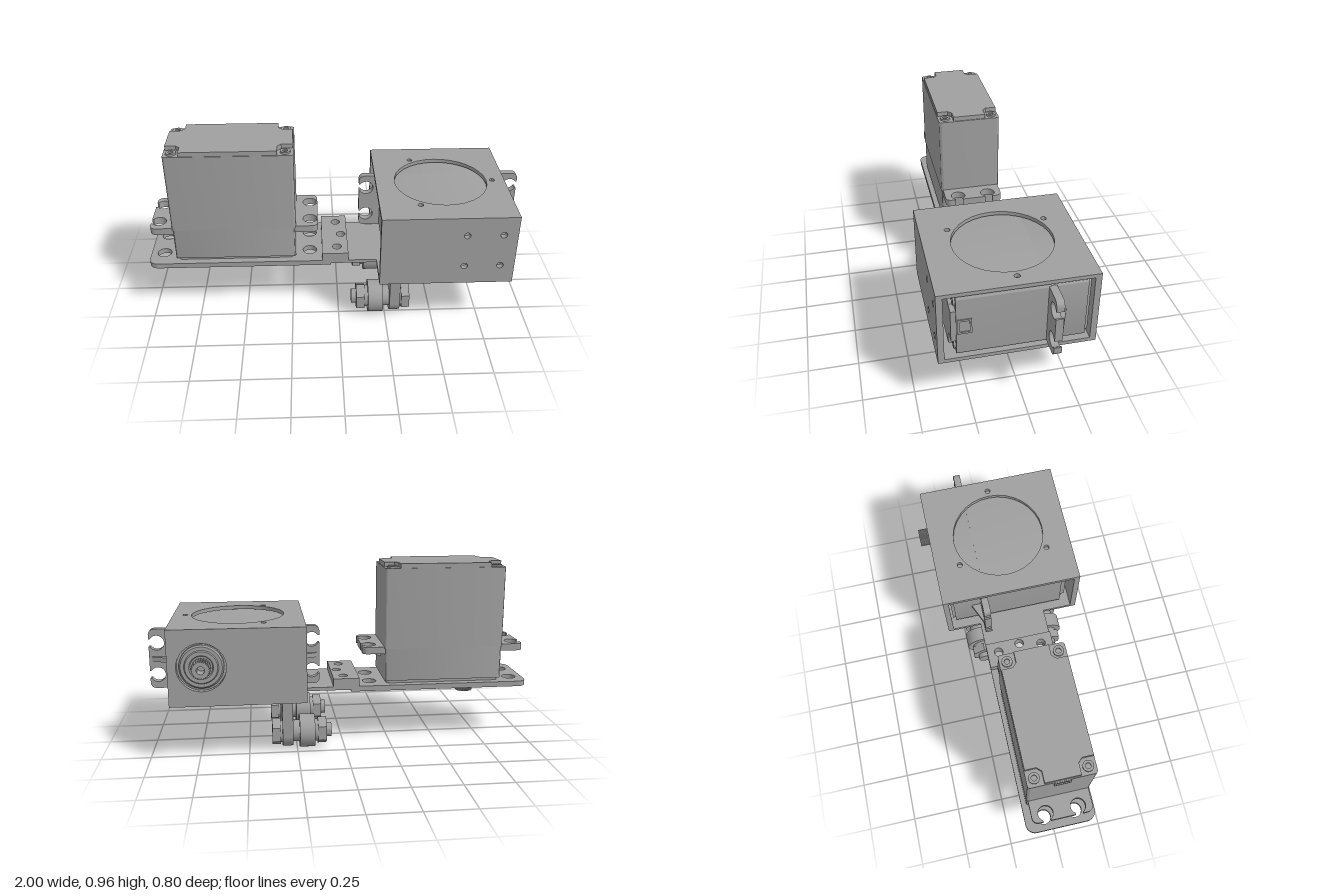
import * as THREE from 'three';
import { toCreasedNormals } from 'three/addons/utils/BufferGeometryUtils.js';

const metal = new THREE.MeshStandardMaterial({ color: 0xa0a0a0 });
metal.name = 'plain grey';

function add(parent, name, geometry) {
  const mesh = new THREE.Mesh(geometry, metal);
  mesh.name = name;
  parent.add(mesh);
  return mesh;
}

function box(parent, name, x0, x1, y0, y1, z0, z1) {
  const m = add(parent, name, new THREE.BoxGeometry(x1 - x0, y1 - y0, z1 - z0));
  m.position.set((x0 + x1) / 2, (y0 + y1) / 2, (z0 + z1) / 2);
  return m;
}

// Rectangle with a radius per corner: [x0y0, x1y0, x1y1, x0y1]
function roundRect(x0, x1, y0, y1, r, path = new THREE.Shape()) {
  const [a, b, c, d] = Array.isArray(r) ? r : [r, r, r, r];
  path.moveTo(x0 + a, y0).lineTo(x1 - b, y0);
  if (b) path.absarc(x1 - b, y0 + b, b, -Math.PI / 2, 0, false);
  path.lineTo(x1, y1 - c);
  if (c) path.absarc(x1 - c, y1 - c, c, 0, Math.PI / 2, false);
  path.lineTo(x0 + d, y1);
  if (d) path.absarc(x0 + d, y1 - d, d, Math.PI / 2, Math.PI, false);
  path.lineTo(x0, y0 + a);
  if (a) path.absarc(x0 + a, y0 + a, a, Math.PI, Math.PI * 1.5, false);
  return path;
}

function holes(shape, list, r) {
  for (const [x, y] of list) shape.holes.push(new THREE.Path().absarc(x, y, r, 0, Math.PI * 2, true));
  return shape;
}

function extrude(shape, depth) {
  const g = new THREE.ExtrudeGeometry(shape, { depth, bevelEnabled: false, curveSegments: 16 });
  return toCreasedNormals(g, 0.6);
}

// Horizontal slab: shape drawn in (x, z), spanning y0 to y1
function slab(parent, name, shape, y0, y1) {
  const g = extrude(shape, y1 - y0).rotateX(Math.PI / 2);
  return add(parent, name, g.translate(0, y1, 0));
}

// Servo with its back on y = 0 and its output shaft pointing up
function createServo() {
  const servo = new THREE.Group();
  servo.name = 'servo';
  slab(servo, 'mainCase', roundRect(-0.32, 0.32, -0.163, 0.163, 0.014), 0.024, 0.45);
  slab(servo, 'gearCase', roundRect(-0.317, 0.317, -0.16, 0.16, 0.014), 0.45, 0.625);
  slab(servo, 'caseEnd', roundRect(-0.305, 0.305, -0.15, 0.15, 0.02), 0.625, 0.64);

  // Back cover with stepped corners that leave room for the screws
  const X = 0.315, Z = 0.16, n = 0.075, c = 0.02;
  const cover = new THREE.Shape();
  [[1, 1], [-1, 1], [-1, -1], [1, -1]].forEach(([sx, sz], i) => {
    const pts = [[X, Z - n], [X - n + c, Z - n], [X - n, Z - n + c], [X - n, Z]];
    if (i % 2) pts.reverse();
    for (const [x, z] of pts) cover.lineTo(sx * x, sz * z);
  });
  cover.curves.shift(); // drop the segment from the origin
  cover.closePath();
  slab(servo, 'backCover', cover, 0, 0.024);
  for (const sx of [-1, 1]) for (const sz of [-1, 1]) {
    const ring = holes(new THREE.Shape().absarc(sx * 0.28, sz * 0.125, 0.026, 0, Math.PI * 2), [[sx * 0.28, sz * 0.125]], 0.013);
    slab(servo, 'caseScrew', ring, 0.014, 0.026);
  }

  // Mounting ears with open keyhole slots, plus their ribs
  const ear = new THREE.Shape();
  ear.moveTo(0.31, -0.155).lineTo(0.405, -0.155);
  ear.absarc(0.405, -0.125, 0.03, -Math.PI / 2, 0, false);
  const half = Math.asin(0.02 / 0.038);
  for (const z of [-0.083, 0.083]) {
    ear.lineTo(0.435, z - 0.02);
    ear.absarc(0.395, z, 0.038, -half, half, true);
    ear.lineTo(0.435, z + 0.02);
  }
  ear.absarc(0.405, 0.125, 0.03, 0, Math.PI / 2, false);
  ear.lineTo(0.31, 0.155);
  const rib = new THREE.Shape([[0.31, 0.475], [0.42, 0.475], [0.42, 0.483], [0.31, 0.53]].map(p => new THREE.Vector2(...p)));
  for (const turn of [0, Math.PI]) {
    const side = new THREE.Group();
    side.name = 'mountingEar';
    side.rotation.y = turn;
    slab(side, 'ear', ear, 0.44, 0.477);
    add(side, 'earRib', extrude(rib, 0.024).translate(0, 0, -0.012));
    servo.add(side);
  }

  // Cable window
  const frame = roundRect(-0.04, 0.04, 0.03, 0.095, 0);
  frame.holes.push(roundRect(-0.03, 0.03, 0.04, 0.085, 0, new THREE.Path()));
  add(servo, 'cableWindow', extrude(frame, 0.008).rotateY(Math.PI / 2).translate(0.317, 0, 0));

  // Stepped collar and splined hollow shaft
  const profile = [[0.11, 0.63], [0.11, 0.662], [0.102, 0.67], [0.085, 0.67], [0.08, 0.676], [0.06, 0.676], [0.055, 0.666], [0, 0.666]];
  const collar = new THREE.LatheGeometry(profile.map(p => new THREE.Vector2(...p)), 40);
  add(servo, 'shaftCollar', toCreasedNormals(collar, 0.5)).position.x = 0.16;
  const spline = new THREE.Shape();
  for (let i = 0; i < 96; i++) {
    const a = i / 96 * Math.PI * 2, r = i % 4 < 2 ? 0.047 : 0.041;
    spline[i ? 'lineTo' : 'moveTo'](r * Math.cos(a), r * Math.sin(a));
  }
  spline.closePath();
  slab(servo, 'outputShaft', holes(spline, [[0, 0]], 0.02), 0.66, 0.733).position.x = 0.16;
  return servo;
}

// Cylinder lying along x
function rod(parent, name, x0, x1, r, sides = 32) {
  const g = new THREE.CylinderGeometry(r, r, x1 - x0, sides).rotateZ(Math.PI / 2).rotateX(Math.PI / 2);
  add(parent, name, toCreasedNormals(g, 0.5)).position.x = (x0 + x1) / 2;
}

// Leg with a bolted roller, centred on its axle
function createLeg() {
  const leg = new THREE.Group();
  leg.name = 'rollerLeg';
  const strap = new THREE.Shape();
  strap.moveTo(-0.078, 0.215).lineTo(-0.078, 0);
  strap.absarc(0, 0, 0.078, Math.PI, Math.PI * 2, false);
  strap.lineTo(0.078, 0.215);
  add(leg, 'strap', extrude(strap, 0.055).rotateY(Math.PI / 2).translate(0.272, 0, 0));
  // Fillet where the strap meets the case
  const fillet = new THREE.Shape();
  fillet.moveTo(0.25, 0.21).absarc(0.25, 0.188, 0.022, Math.PI / 2, 0, true);
  fillet.lineTo(0.327, 0.188).absarc(0.349, 0.188, 0.022, Math.PI, Math.PI / 2, true);
  add(leg, 'filletRoot', extrude(fillet, 0.156).translate(0, 0, -0.078));
  rod(leg, 'boltEnd', 0.068, 0.11, 0.038);
  rod(leg, 'boltShank', 0.1, 0.34, 0.035);
  rod(leg, 'nut', 0.095, 0.14, 0.073, 6);
  rod(leg, 'washer', 0.14, 0.157, 0.058);
  rod(leg, 'roller', 0.157, 0.237, 0.087, 40);
  rod(leg, 'spacer', 0.237, 0.274, 0.056);
  rod(leg, 'headWasher', 0.325, 0.338, 0.058);
  rod(leg, 'boltHead', 0.337, 0.38, 0.073, 6);
  return leg;
}

export function createModel() {
  const model = new THREE.Group();
  model.name = 'servoJoint';

  // Upright servo, shaft down
  const first = createServo();
  first.name = 'uprightServo';
  first.rotation.z = Math.PI;
  first.position.set(-0.54, 0.96, 0.025);
  model.add(first);

  // Lying servo, shaft to the back
  const second = createServo();
  second.name = 'lyingServo';
  second.rotation.x = -Math.PI / 2;
  second.position.set(0.56, 0.493, 0.335);
  model.add(second);

  // Base plate, raised step and joining tab
  const plate = roundRect(-1, -0.04, -0.16, 0.21, [0.05, 0, 0, 0.05]);
  holes(plate, [[-0.93, -0.06], [-0.93, 0.105], [-0.15, -0.06], [-0.15, 0.105]], 0.037);
  holes(plate, [[-0.7, 0.025]], 0.115);
  slab(model, 'basePlate', plate, 0.29, 0.318);
  const pins = [[-0.005, -0.097], [0.02, 0.025], [-0.005, 0.145]];
  slab(model, 'raisedStep', holes(roundRect(-0.085, 0.053, -0.16, 0.21, 0), pins, 0.024), 0.318, 0.362);
  slab(model, 'joiningTab', holes(roundRect(-0.04, 0.205, -0.16, 0.21, 0), pins, 0.024), 0.3, 0.318);

  // Case around the lying servo, open at both ends
  const top = holes(roundRect(0.203, 0.885, -0.345, 0.398, 0), [[0.545, 0.025]], 0.243);
  holes(top, [[0.41, -0.213], [0.41, 0.263], [0.82, 0.025]], 0.014);
  slab(model, 'caseTop', top, 0.665, 0.685);
  const bottom = roundRect(0.203, 0.885, -0.345, 0.398, 0);
  bottom.holes.push(roundRect(0.4, 0.78, -0.21, 0.29, 0.035, new THREE.Path()));
  slab(model, 'caseBottom', bottom, 0.295, 0.315);
  box(model, 'bottomPanel', 0.38, 0.8, 0.312, 0.325, -0.23, 0.31);
  const front = holes(roundRect(0.203, 0.885, 0.315, 0.665, 0), [[0.63, 0.4], [0.63, 0.583], [0.812, 0.4], [0.812, 0.583]], 0.017);
  add(model, 'caseFront', extrude(front, 0.03)).position.z = 0.368;
  const back = holes(roundRect(0.203, 0.885, 0.315, 0.665, 0), [[0.72, 0.493]], 0.122);
  add(model, 'caseBack', extrude(back, 0.03)).position.z = -0.345;

  // Pair of roller legs
  for (const z of [-0.165, 0.222]) {
    const leg = createLeg();
    leg.position.set(0, 0.087, z);
    model.add(leg);
  }
  return model;
}
